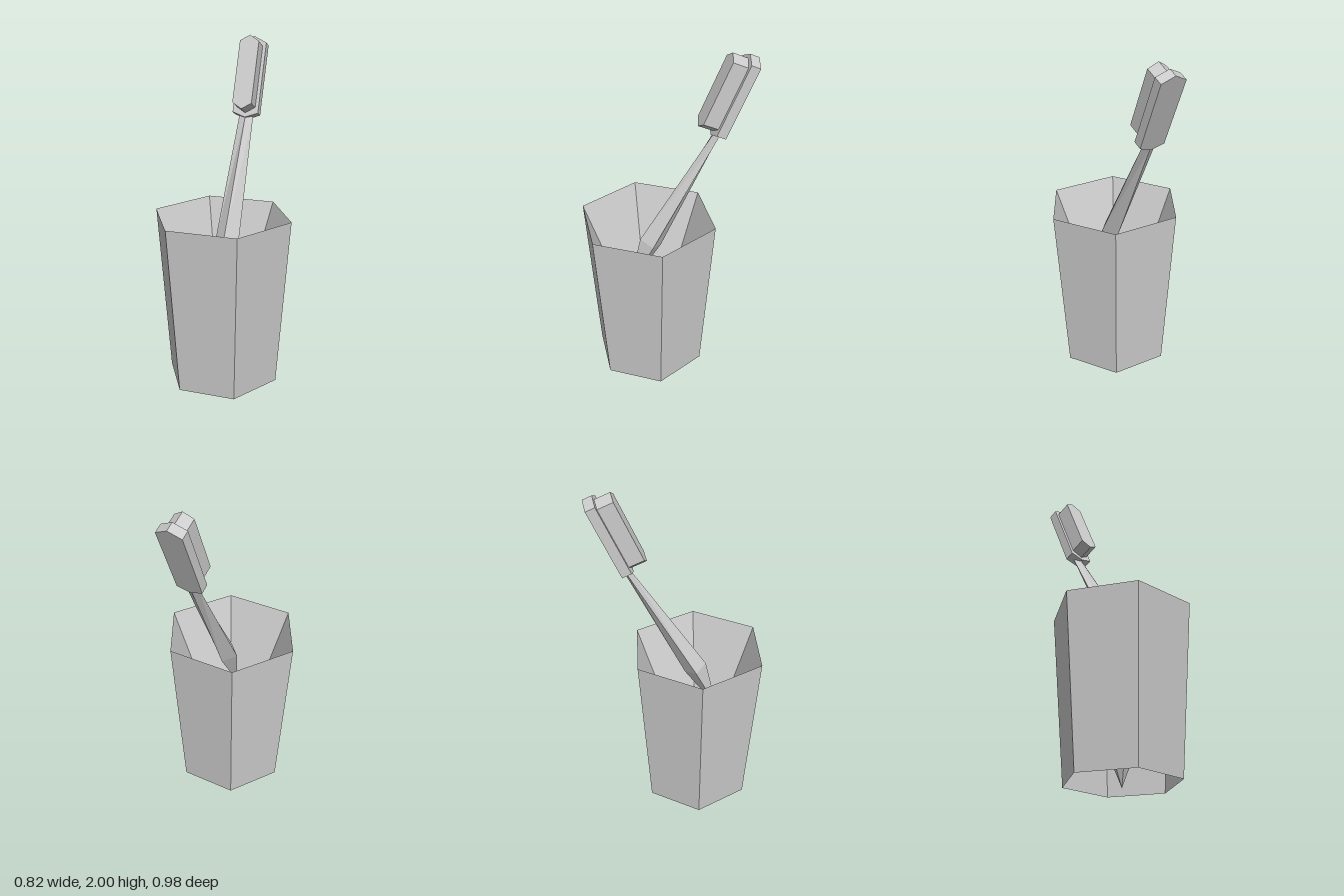
import * as THREE from 'three';

const material = new THREE.MeshStandardMaterial({ color: 0xcccccc, flatShading: true, side: THREE.DoubleSide });

function addMesh(parent, name, geometry) {
  const mesh = new THREE.Mesh(geometry, material);
  mesh.name = name;
  parent.add(mesh);
  return mesh;
}

// Slab with a shallow point at both ends, extruded from z0 to z1
function pointedSlab(halfWidth, tipLow, cornerLow, cornerHigh, tipHigh, z0, z1) {
  const shape = new THREE.Shape([
    [0, tipLow], [halfWidth, cornerLow], [halfWidth, cornerHigh],
    [0, tipHigh], [-halfWidth, cornerHigh], [-halfWidth, cornerLow],
  ].map(([x, y]) => new THREE.Vector2(x, y)));
  return new THREE.ExtrudeGeometry(shape, { depth: z1 - z0, bevelEnabled: false }).translate(0, 0, z0);
}

// Diamond-section handle: each row is [height, centre z, half width, half depth]
function handleGeometry() {
  const rows = [
    [1.51, 0.386, 0.0425, 0.018],
    [0.738, 0.465, 0.07, 0.068],
    [0.40, 0.465, 0, 0],
  ];
  const geometry = new THREE.CylinderGeometry(1, 1, 2, 4, 2, true);
  const p = geometry.attributes.position;
  for (let i = 0; i < p.count; i++) {
    const [y, z, halfWidth, halfDepth] = rows[Math.round(1 - p.getY(i))];
    p.setXYZ(i, p.getX(i) * halfWidth, y, z + p.getZ(i) * halfDepth);
  }
  geometry.computeVertexNormals();
  return geometry;
}

export function createModel() {
  const model = new THREE.Group();
  model.name = 'brushInCup';

  // Six-sided cup: open outer wall, and a funnel inside whose tip pokes out below
  const cup = new THREE.Group();
  cup.name = 'cup';
  cup.position.z = 0.13;
  cup.rotation.y = Math.PI / 6 - 0.018;
  model.add(cup);
  addMesh(cup, 'cupWall', new THREE.CylinderGeometry(0.409, 0.333, 1, 6, 1, true)).position.y = 0.525;
  addMesh(cup, 'cupInside', new THREE.CylinderGeometry(0.409, 0, 1.025, 6, 1, true)).position.y = 0.5125;

  // Brush leaning back against the rim
  const brush = new THREE.Group();
  brush.name = 'brush';
  brush.position.x = 0.025;
  brush.rotation.x = -Math.atan(0.45);
  model.add(brush);
  addMesh(brush, 'handle', handleGeometry());
  addMesh(brush, 'brushHead', pointedSlab(0.078, 1.49, 1.518, 1.95, 1.988, 0.36, 0.418));
  addMesh(brush, 'bristles', pointedSlab(0.058, 1.516, 1.552, 1.927, 1.963, 0.418, 0.512));

  return model;
}
